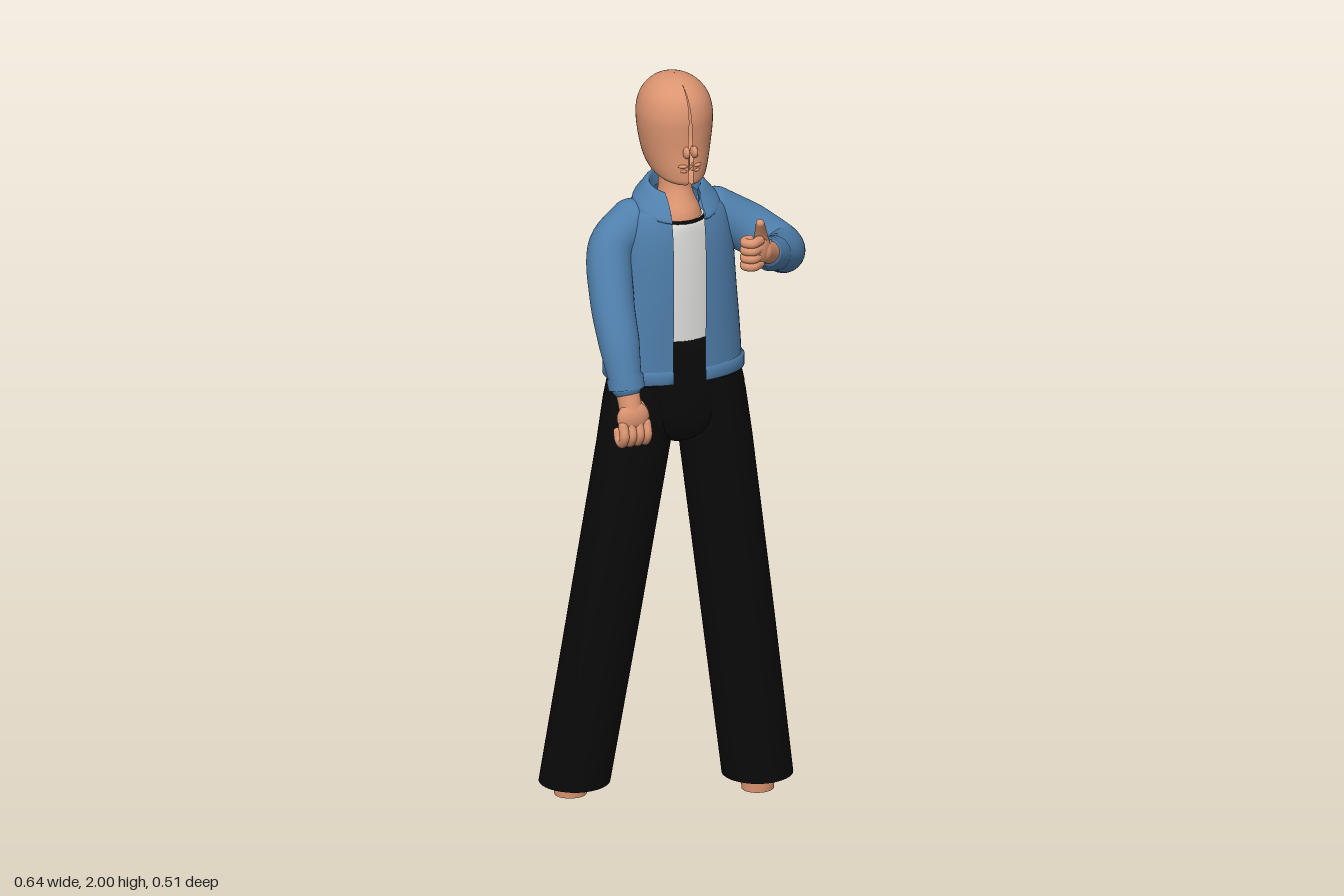
import * as THREE from 'three';

const mat = (name, color) => Object.assign(new THREE.MeshStandardMaterial({ color, side: THREE.DoubleSide }), { name });
const V = (p) => new THREE.Vector3(...p);

// Surface through elliptical rings [y, cx, cz, rx, rz], listed upwards.
// gap(y): half width of an opening at the front; tilt: slope of the rings along z.
function loft(rings, { steps = 1, gap = null, tilt = 0, power = 1, sides = 48 } = {}) {
  const rows = [];
  for (let i = 0; i < rings.length - 1; i++) {
    const at = (k) => rings[Math.min(Math.max(k, 0), rings.length - 1)];
    const [a, b, c, d] = [at(i - 1), at(i), at(i + 1), at(i + 2)];
    for (let s = 0; s < steps; s++) {
      const t = s / steps;
      rows.push(b.map((v, k) => v + 0.5 * t * (c[k] - a[k] +
        t * (2 * a[k] - 5 * v + 4 * c[k] - d[k] + t * (3 * (v - c[k]) + d[k] - a[k])))));
    }
  }
  rows.push(rings[rings.length - 1]);
  const pos = [], index = [], cols = gap ? sides + 1 : sides;
  const bend = (v) => Math.sign(v) * Math.abs(v) ** power;
  rows.forEach(([y, cx, cz, rx, rz], i) => {
    const a0 = gap ? Math.asin(Math.min(gap(y) / Math.max(rx, 1e-4), 0.9) ** (1 / power)) : 0;
    for (let j = 0; j < cols; j++) {
      const t = a0 + (j / sides) * (2 * Math.PI - 2 * a0);
      const z = rz * bend(Math.cos(t));
      pos.push(cx + rx * bend(Math.sin(t)), y + tilt * z, cz + z);
    }
    if (i === rows.length - 1) return;
    for (let j = 0; j < sides; j++) {
      const a = i * cols + j, b = i * cols + (j + 1) % cols;
      index.push(a, b, b + cols, a, b + cols, a + cols);
    }
  });
  const g = new THREE.BufferGeometry();
  g.setAttribute('position', new THREE.Float32BufferAttribute(pos, 3));
  g.setIndex(index);
  g.computeVertexNormals();
  return g;
}

// Tube along points [x, y, z, radius]
function taperedTube(points, segs = 32, sides = 24) {
  const curve = new THREE.CatmullRomCurve3(points.map((p) => V(p.slice(0, 3))));
  const g = new THREE.TubeGeometry(curve, segs, 1, sides);
  const pos = g.attributes.position, nor = g.attributes.normal;
  for (let i = 0; i < pos.count; i++) {
    const u = curve.getUtoTmapping(Math.floor(i / (sides + 1)) / segs) * (points.length - 1);
    const k = Math.min(Math.floor(u), points.length - 2);
    const r = THREE.MathUtils.lerp(points[k][3], points[k + 1][3], u - k) - 1;
    pos.setXYZ(i, pos.getX(i) + nor.getX(i) * r, pos.getY(i) + nor.getY(i) * r, pos.getZ(i) + nor.getZ(i) * r);
  }
  g.computeBoundingSphere();
  return g;
}

export function createModel() {
  const model = new THREE.Group();
  const skin = mat('skin', 0xdb9470), denim = mat('jacketBlue', 0x5080ad);
  const black = mat('black', 0x0a0a0a), white = mat('shirtWhite', 0xe0e0dd);

  const add = (name, geometry, material, parent = model) => {
    const m = new THREE.Mesh(geometry, material);
    m.name = name;
    parent.add(m);
    return m;
  };
  const ball = (name, p, size, material, parent = model) => {
    const m = add(name, new THREE.SphereGeometry(1, 24, 16), material, parent);
    m.position.set(...p);
    m.scale.set(...size);
    return m;
  };
  // Tube with rounded ends
  const limb = (name, points, material, parent = model) => {
    const g = new THREE.Group();
    g.name = name;
    parent.add(g);
    add(name + 'Surface', taperedTube(points), material, g);
    for (const p of [points[0], points[points.length - 1]]) {
      ball(name + 'End', p.slice(0, 3), [p[3], p[3], p[3]], material, g);
    }
  };

  // Head with a narrow seam down the face
  add('head', loft([
    [1.728, -0.005, 0.025, 0.002, 0.002], [1.73, -0.005, 0.022, 0.035, 0.045],
    [1.738, -0.005, 0.01, 0.055, 0.066], [1.752, -0.005, -0.012, 0.069, 0.09],
    [1.78, -0.005, -0.028, 0.08, 0.106], [1.82, -0.005, -0.035, 0.089, 0.11],
    [1.87, -0.005, -0.037, 0.096, 0.112], [1.91, -0.005, -0.038, 0.096, 0.112],
    [1.95, -0.005, -0.038, 0.084, 0.099], [1.98, -0.005, -0.038, 0.058, 0.07],
    [1.995, -0.005, -0.038, 0.028, 0.035], [2.0, -0.005, -0.038, 0.001, 0.001],
  ], { steps: 4, gap: (y) => 0.006 * THREE.MathUtils.clamp((1.99 - y) / 0.16, 0, 1) }), skin);
  for (const s of [-1, 1]) {
    ball('nose', [-0.005 + s * 0.011, 1.822, 0.072], [0.009, 0.016, 0.018], skin);
    ball('upperLip', [-0.005 + s * 0.018, 1.785, 0.068], [0.014, 0.006, 0.012], skin);
    ball('lowerLip', [-0.005 + s * 0.016, 1.772, 0.067], [0.012, 0.006, 0.012], skin);
  }
  add('neck', loft([
    [1.57, 0, -0.03, 0.07, 0.07], [1.63, 0, -0.032, 0.06, 0.066], [1.67, 0, -0.042, 0.046, 0.053],
    [1.71, 0, -0.05, 0.04, 0.045], [1.78, 0, -0.05, 0.04, 0.045],
  ], { steps: 4 }), skin);

  // Shirt and its neckline trim
  add('shirt', loft([
    [1.25, 0, -0.055, 0.14, 0.098], [1.45, 0, -0.055, 0.13, 0.1], [1.56, 0, -0.05, 0.12, 0.094],
    [1.615, 0, -0.04, 0.08, 0.08], [1.617, 0, -0.04, 0.05, 0.06],
  ], { steps: 3 }), white);
  const trim = add('necklineTrim', new THREE.TorusGeometry(0.075, 0.005, 8, 40), black);
  trim.position.set(0, 1.615, -0.038);
  trim.rotation.x = Math.PI / 2;

  // Open jacket with hem band and turned-down collar
  const opening = () => 0.044;
  add('jacketBody', loft([
    [1.2, 0, -0.055, 0.18, 0.112], [1.3, 0, -0.053, 0.173, 0.112], [1.42, 0, -0.05, 0.162, 0.112],
    [1.55, 0, -0.05, 0.152, 0.11], [1.62, 0, -0.05, 0.135, 0.101], [1.652, 0, -0.05, 0.108, 0.09],
    [1.68, 0, -0.05, 0.075, 0.07],
  ], { steps: 4, gap: opening, power: 0.88 }), denim);
  add('hemBand', loft([
    [1.182, 0, -0.055, 0.176, 0.108], [1.184, 0, -0.055, 0.187, 0.117],
    [1.212, 0, -0.055, 0.187, 0.117], [1.22, 0, -0.055, 0.178, 0.111],
  ], { gap: opening, power: 0.88 }), denim);
  add('collar', loft([
    [1.645, 0, -0.038, 0.1, 0.092], [1.652, 0, -0.038, 0.114, 0.102], [1.68, 0, -0.042, 0.093, 0.084],
    [1.702, 0, -0.046, 0.075, 0.068], [1.7, 0, -0.046, 0.066, 0.06], [1.66, 0, -0.044, 0.064, 0.062],
  ], { steps: 3, tilt: -0.28, gap: () => 0.046 }), denim);

  // Sleeves and cuffs
  limb('rightSleeve', [
    [-0.115, 1.602, -0.055, 0.06], [-0.175, 1.545, -0.045, 0.06], [-0.195, 1.42, 0.01, 0.057],
    [-0.194, 1.32, 0.055, 0.053], [-0.187, 1.215, 0.085, 0.041],
  ], denim);
  add('rightCuff', taperedTube([
    [-0.189, 1.24, 0.079, 0.04], [-0.188, 1.233, 0.081, 0.048], [-0.186, 1.205, 0.088, 0.047],
    [-0.186, 1.198, 0.09, 0.03],
  ]), denim);
  limb('leftSleeve', [
    [0.115, 1.602, -0.055, 0.06], [0.195, 1.55, -0.03, 0.066], [0.262, 1.505, 0.015, 0.061],
    [0.25, 1.512, 0.075, 0.055], [0.192, 1.54, 0.143, 0.04],
  ], denim);
  add('leftCuff', taperedTube([
    [0.207, 1.533, 0.125, 0.04], [0.203, 1.535, 0.13, 0.046], [0.183, 1.545, 0.153, 0.045],
    [0.178, 1.548, 0.158, 0.03],
  ]), denim);

  // Left hand: loose fist with the thumb up
  const leftHand = new THREE.Group();
  leftHand.name = 'leftHand';
  model.add(leftHand);
  limb('leftWrist', [[0.188, 1.545, 0.148, 0.03], [0.16, 1.563, 0.178, 0.029], [0.14, 1.575, 0.2, 0.03]], skin, leftHand);
  ball('leftPalm', [0.135, 1.583, 0.208], [0.042, 0.042, 0.022], skin, leftHand).rotation.y = 0.8;
  for (let i = 0; i < 4; i++) {
    const y = 1.552 + i * 0.021;
    limb('leftFinger', [[0.125, y, 0.225, 0.013], [0.102, y, 0.239, 0.0125], [0.087, y - 0.002, 0.222, 0.012],
      [0.094, y - 0.003, 0.203, 0.011], [0.11, y - 0.003, 0.196, 0.01]], skin, leftHand);
  }
  limb('leftThumb', [[0.145, 1.59, 0.195, 0.02], [0.135, 1.63, 0.21, 0.016], [0.126, 1.664, 0.228, 0.011]], skin, leftHand);

  // Right hand: hanging with curled fingers
  const rightHand = new THREE.Group();
  rightHand.name = 'rightHand';
  model.add(rightHand);
  limb('rightWrist', [[-0.187, 1.21, 0.087, 0.032], [-0.184, 1.18, 0.098, 0.03], [-0.182, 1.15, 0.108, 0.03]], skin, rightHand);
  ball('rightPalm', [-0.18, 1.135, 0.117], [0.044, 0.042, 0.024], skin, rightHand);
  for (let i = 0; i < 4; i++) {
    const x = -0.211 + i * 0.021;
    limb('rightFinger', [[x, 1.118, 0.127, 0.013], [x, 1.09, 0.136, 0.0125], [x, 1.068, 0.12, 0.012],
      [x, 1.07, 0.096, 0.011], [x, 1.089, 0.085, 0.01]], skin, rightHand);
  }
  limb('rightThumb', [[-0.16, 1.155, 0.1, 0.019], [-0.14, 1.13, 0.088, 0.015], [-0.133, 1.1, 0.086, 0.011]], skin, rightHand);

  // Trousers: hips and two wide legs with open hems
  add('hips', loft([
    [0.995, 0, -0.05, 0.01, 0.02], [1.01, 0, -0.05, 0.05, 0.065], [1.05, 0, -0.05, 0.13, 0.092],
    [1.12, 0, -0.05, 0.185, 0.098], [1.18, 0, -0.051, 0.178, 0.1], [1.29, 0, -0.053, 0.158, 0.1],
    [1.292, 0, -0.053, 0.1, 0.06],
  ], { steps: 3, power: 0.9 }), black);
  const legs = [['left', 1, -0.05, -0.05], ['right', -1, -0.165, -0.19]];
  for (const [side, s, hemZ, footZ] of legs) {
    add(side + 'TrouserLeg', loft([
      [0.043, s * 0.229, hemZ, 0.087, 0.088], [0.045, s * 0.229, hemZ, 0.092, 0.092],
      [0.5, s * 0.174, (hemZ - 0.05) / 2, 0.094, 0.095], [1.0, s * 0.112, -0.051, 0.095, 0.097],
      [1.12, s * 0.097, -0.05, 0.092, 0.098], [1.18, s * 0.09, -0.05, 0.085, 0.095],
    ]), black);
    // Ankle stumps showing beneath the hem
    add(side + 'Foot', loft([
      [0, s * 0.23, footZ, 0.001, 0.001], [0, s * 0.23, footZ, 0.042, 0.04], [0, s * 0.23, footZ, 0.042, 0.04],
      [0.04, s * 0.23, footZ, 0.044, 0.042], [0.1, s * 0.222, (footZ + hemZ) / 2, 0.04, 0.04],
      [0.3, s * 0.198, hemZ * 0.75 - 0.0125, 0.04, 0.04],
    ]), skin);
  }
  return model;
}
